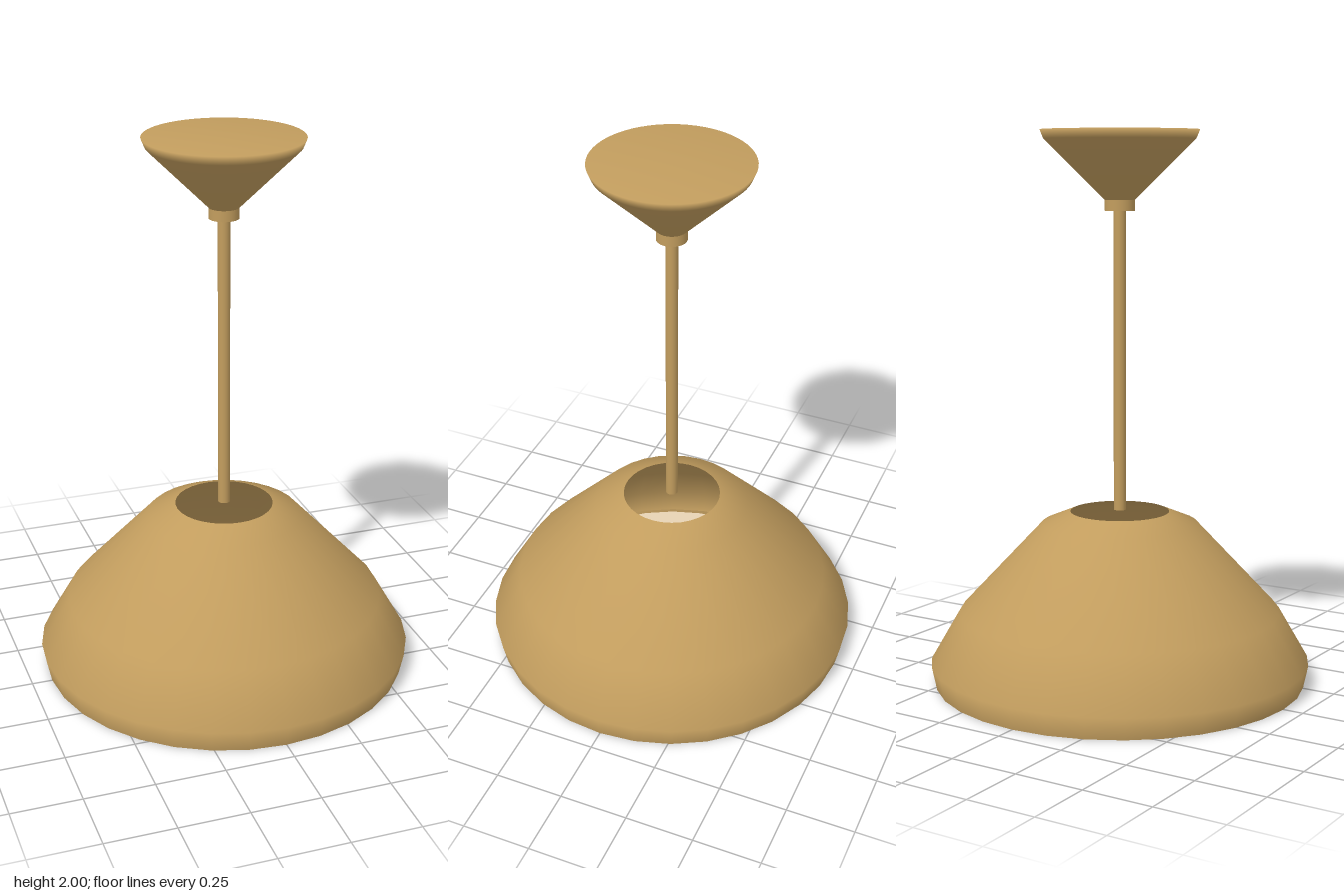
import * as THREE from 'three';

export function createModel() {
  const group = new THREE.Group();
  const brass = new THREE.MeshStandardMaterial({ color: 0xc29d5e, side: THREE.DoubleSide });
  brass.name = 'brass';
  const cream = new THREE.MeshStandardMaterial({ color: 0xead5b6 });
  cream.name = 'cream';

  const add = (name, geometry, material, y = 0) => {
    const mesh = new THREE.Mesh(geometry, material);
    mesh.name = name;
    mesh.position.y = y;
    group.add(mesh);
  };
  // profiles run from bottom to top so the surface faces outward
  const lathe = (points, sides) =>
    new THREE.LatheGeometry(points.map(([r, y]) => new THREE.Vector2(r, y)), sides);
  const cylinder = (r, y0, y1, sides) =>
    new THREE.CylinderGeometry(r, r, y1 - y0, sides).translate(0, (y0 + y1) / 2, 0);

  // open-topped shade with an inward lip around its mouth
  add('shade', lathe([[0.675, 0], [0.692, 0.08], [0.585, 0.265], [0.283, 0.587], [0.18, 0.63]], 32), brass);
  add('shadeLip', lathe([[0.59, 0.05], [0.675, 0]], 32), brass);

  // light panel just inside the mouth
  add('diffuser', cylinder(0.585, 0.03, 0.06, 32), cream);

  // hanging rod and its collar
  add('rod', cylinder(0.022, 0.635, 1.73, 24), brass);
  add('collar', cylinder(0.054, 1.715, 1.755, 32), brass);

  // ceiling canopy, with softly shaded closed top
  add('canopy', lathe([[0.045, 1.745], [0.27, 1.968], [0.283, 2], [0, 2]], 64), brass);

  return group;
}
